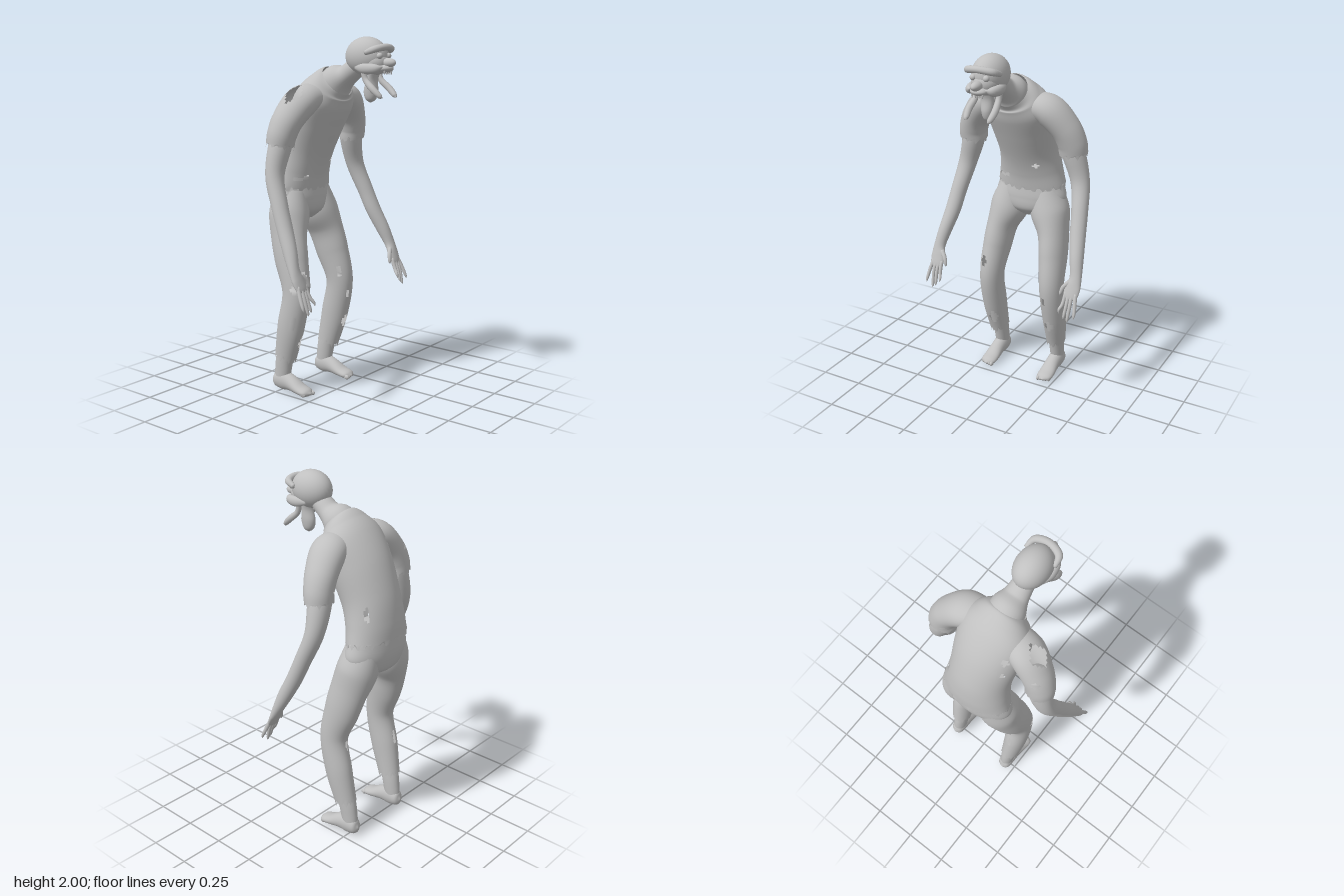
import * as THREE from 'three';

const X = new THREE.Vector3(1, 0, 0);
const Z = new THREE.Vector3(0, 0, 1);

const grey = new THREE.MeshStandardMaterial({ color: 0xc0c0c0, side: THREE.DoubleSide });
grey.name = 'plainGrey';

// Smooth tube through stations [x, y, z, a, b]; a is the half width along ref, b across it.
// jag makes a ragged far end, holes are diamonds [u, v, du, dv] (u around, v along).
function sweep(name, stations, { ref = X, around = 28, along = 30, jag = 0, holes = [], closed = true } = {}) {
  const path = new THREE.CatmullRomCurve3(stations.map(s => new THREE.Vector3(s[0], s[1], s[2])), false, 'catmullrom');
  const size = new THREE.CatmullRomCurve3(stations.map(s => new THREE.Vector3(s[3], s[4], 0)), false, 'catmullrom');
  const pos = [], index = [];
  for (let i = 0; i <= along; i++) {
    const v = i / along;
    const c = path.getPoint(v), r = size.getPoint(v), t = path.getTangent(v);
    const s = ref.clone().addScaledVector(t, -ref.dot(t)).normalize();
    const d = t.clone().cross(s);
    for (let j = 0; j < around; j++) {
      const q = j / around * Math.PI * 2;
      const p = c.clone()
        .addScaledVector(s, Math.max(r.x, 0.001) * Math.cos(q))
        .addScaledVector(d, Math.max(r.y, 0.001) * Math.sin(q));
      if (jag && i === along) {
        const n = Math.sin(j * 2.3 + 1) * 0.6 + Math.sin(j * 5.1) * 0.4;
        p.addScaledVector(t, jag * n);
      }
      pos.push(p.x, p.y, p.z);
    }
  }
  for (let i = 0; i < along; i++) {
    for (let j = 0; j < around; j++) {
      const u = (j + 0.5) / around, v = (i + 0.5) / along;
      if (holes.some(h => Math.abs(u - h[0]) / h[2] + Math.abs(v - h[1]) / h[3] < 1)) continue;
      const k = (j + 1) % around;
      const a = i * around + j, b = i * around + k, c = a + around, e = b + around;
      index.push(a, b, e, a, e, c);
    }
  }
  // End caps
  if (closed) {
    const last = along * around, n = pos.length / 3;
    for (const s of [stations[0], stations[stations.length - 1]]) pos.push(s[0], s[1], s[2]);
    for (let j = 0; j < around; j++) {
      const k = (j + 1) % around;
      index.push(n, k, j, n + 1, last + j, last + k);
    }
  }
  const g = new THREE.BufferGeometry();
  g.setAttribute('position', new THREE.Float32BufferAttribute(pos, 3));
  g.setIndex(index);
  g.computeVertexNormals();
  const mesh = new THREE.Mesh(g, grey);
  mesh.name = name;
  return mesh;
}

function ball(name, x, y, z, rx, ry, rz) {
  const mesh = new THREE.Mesh(new THREE.SphereGeometry(1, 32, 24), grey);
  mesh.name = name;
  mesh.position.set(x, y, z);
  mesh.scale.set(rx, ry, rz);
  return mesh;
}

function makeHead() {
  const head = new THREE.Group();
  head.name = 'head';
  head.add(
    ball('skull', 0, 1.898, 0.2, 0.092, 0.102, 0.122),
    ball('face', 0, 1.865, 0.255, 0.072, 0.065, 0.075),
    ball('nose', 0, 1.865, 0.34, 0.026, 0.024, 0.045),
    ball('upperLip', 0, 1.835, 0.315, 0.048, 0.022, 0.045),
    sweep('brow', [[-0.085, 1.915, 0.25, 0.012, 0.012], [-0.07, 1.935, 0.305, 0.02, 0.018],
      [0, 1.945, 0.325, 0.02, 0.018], [0.07, 1.935, 0.305, 0.02, 0.018],
      [0.085, 1.915, 0.25, 0.012, 0.012]], { ref: Z, around: 16 }),
    sweep('hangingJaw', [[0, 1.83, 0.25, 0.045, 0.03], [0, 1.78, 0.24, 0.038, 0.025],
      [0, 1.72, 0.23, 0.036, 0.04], [0, 1.675, 0.228, 0.026, 0.03], [0, 1.655, 0.228, 0.002, 0.002]])
  );
  for (const s of [-1, 1]) {
    head.add(
      ball('eye', s * 0.038, 1.9, 0.312, 0.017, 0.016, 0.016),
      sweep('cheek', [[s * 0.07, 1.84, 0.18, 0.008, 0.012], [s * 0.078, 1.835, 0.24, 0.02, 0.027],
        [s * 0.065, 1.835, 0.3, 0.022, 0.024], [s * 0.045, 1.845, 0.335, 0.004, 0.004]], { around: 16 }),
      sweep('whisker', [[s * 0.072, 1.825, 0.23, 0.014, 0.014], [s * 0.068, 1.775, 0.245, 0.016, 0.016],
        [s * 0.075, 1.73, 0.295, 0.018, 0.018], [s * 0.068, 1.695, 0.335, 0.014, 0.013],
        [s * 0.06, 1.685, 0.347, 0.001, 0.001]], { around: 12 })
    );
  }
  // Upper teeth
  for (const x of [-0.03, -0.01, 0.01, 0.03]) {
    head.add(sweep('tooth', [[x, 1.835, 0.335, 0.007, 0.006], [x, 1.805, 0.338, 0.003, 0.003]],
      { around: 8, along: 3 }));
  }
  return head;
}

function makeArm(s) {
  const arm = new THREE.Group();
  arm.name = s > 0 ? 'leftArm' : 'rightArm';
  arm.add(
    sweep('sleeve', [[s * 0.1, 1.685, -0.07, 0.085, 0.07], [s * 0.19, 1.658, -0.09, 0.1, 0.085],
      [s * 0.27, 1.57, -0.115, 0.09, 0.08], [s * 0.305, 1.49, -0.13, 0.08, 0.08],
      [s * 0.312, 1.43, -0.138, 0.073, 0.08]],
    { ref: Z, around: 40, along: 34, jag: 0.02, closed: false,
      holes: s < 0 ? [[0.24, 0.3, 0.1, 0.12], [0.4, 0.55, 0.05, 0.06]] : [[0.42, 0.75, 0.04, 0.05]] }),
    sweep('bareArm', [[s * 0.27, 1.56, -0.12, 0.06, 0.06], [s * 0.313, 1.42, -0.14, 0.062, 0.064],
      [s * 0.355, 1.27, -0.14, 0.05, 0.053], [s * 0.382, 1.12, -0.085, 0.045, 0.046],
      [s * 0.398, 1.0, -0.035, 0.043, 0.044], [s * 0.42, 0.89, 0.018, 0.039, 0.038],
      [s * 0.436, 0.8, 0.058, 0.028, 0.034], [s * 0.432, 0.745, 0.085, 0.021, 0.044],
      [s * 0.428, 0.695, 0.108, 0.014, 0.038], [s * 0.428, 0.68, 0.113, 0.003, 0.012]], { ref: Z, along: 54 }),
    sweep('thumb', [[s * 0.41, 0.775, 0.078, 0.014, 0.014], [s * 0.382, 0.745, 0.095, 0.012, 0.012],
      [s * 0.37, 0.71, 0.105, 0.009, 0.009], [s * 0.368, 0.695, 0.108, 0.001, 0.001]], { ref: Z, around: 10, along: 12 })
  );
  // Fingers: root x, tip x, tip height
  for (const [x0, x1, y1] of [[0.4, 0.384, 0.612], [0.417, 0.413, 0.582], [0.436, 0.434, 0.568], [0.455, 0.472, 0.595]]) {
    const xm = (x0 + x1) / 2;
    arm.add(sweep('finger', [[s * x0, 0.72, 0.1, 0.011, 0.011], [s * (xm + 0.003), 0.66, 0.127, 0.011, 0.01],
      [s * x1, y1 + 0.02, 0.148, 0.008, 0.008], [s * x1, y1, 0.156, 0.001, 0.001]], { ref: Z, around: 10, along: 14 }));
  }
  return arm;
}

function makeLeg(s) {
  const leg = new THREE.Group();
  leg.name = s > 0 ? 'leftLeg' : 'rightLeg';
  const tears = s > 0
    ? [[0.25, 0.86, 0.1, 0.035], [0.4, 0.62, 0.04, 0.04], [0.72, 0.7, 0.04, 0.04], [0.3, 0.72, 0.04, 0.025]]
    : [[0.2, 0.9, 0.08, 0.04], [0.42, 0.65, 0.05, 0.03], [0.3, 0.6, 0.05, 0.025], [0.75, 0.8, 0.04, 0.05], [0.4, 0.8, 0.04, 0.05]];
  leg.add(
    sweep('trouserLeg', [[s * 0.1, 1.14, -0.255, 0.09, 0.1], [s * 0.128, 1.02, -0.238, 0.112, 0.115],
      [s * 0.165, 0.9, -0.21, 0.086, 0.11], [s * 0.182, 0.78, -0.178, 0.079, 0.104],
      [s * 0.197, 0.6, -0.133, 0.069, 0.083], [s * 0.2, 0.4, -0.17, 0.066, 0.083],
      [s * 0.194, 0.21, -0.217, 0.054, 0.067]],
    { around: 40, along: 64, jag: 0.022, closed: false, holes: tears }),
    sweep('shin', [[s * 0.197, 0.62, -0.135, 0.045, 0.055], [s * 0.198, 0.4, -0.172, 0.048, 0.058],
      [s * 0.192, 0.22, -0.222, 0.044, 0.055], [s * 0.19, 0.13, -0.24, 0.04, 0.052],
      [s * 0.19, 0.06, -0.25, 0.036, 0.048]]),
    sweep('foot', [[s * 0.19, 0.06, -0.308, 0.004, 0.006], [s * 0.19, 0.06, -0.29, 0.034, 0.042],
      [s * 0.19, 0.066, -0.24, 0.042, 0.058], [s * 0.19, 0.058, -0.18, 0.042, 0.046],
      [s * 0.191, 0.036, -0.11, 0.047, 0.029], [s * 0.191, 0.026, -0.06, 0.042, 0.021],
      [s * 0.191, 0.024, -0.036, 0.005, 0.004]])
  );
  // Toes
  for (let i = 0; i < 5; i++) {
    leg.add(ball('toe', s * (0.16 + i * 0.0155), 0.02, -0.052 - i * 0.004, 0.011, 0.014, 0.018));
  }
  return leg;
}

export function createModel() {
  const model = new THREE.Group();
  model.name = 'hunchedFigure';
  model.add(
    // Ragged shirt from collar to hem
    sweep('shirt', [[0, 1.765, 0.005, 0.1, 0.1], [0, 1.735, -0.03, 0.15, 0.118], [0, 1.67, -0.08, 0.195, 0.138],
      [0, 1.55, -0.15, 0.187, 0.148], [0, 1.4, -0.215, 0.174, 0.143],
      [0, 1.28, -0.248, 0.186, 0.134], [0, 1.18, -0.262, 0.205, 0.126]],
    { around: 72, along: 60, jag: 0.024, closed: false,
      holes: [[0.38, 0.9, 0.04, 0.025], [0.33, 0.88, 0.02, 0.03], [0.16, 0.72, 0.02, 0.025],
        [0.9, 0.75, 0.02, 0.06], [0.62, 0.42, 0.02, 0.03], [0.6, 0.52, 0.012, 0.03]] }),
    // Forward-reaching neck
    sweep('neck', [[0, 1.735, -0.03, 0.095, 0.09], [0, 1.768, 0.015, 0.093, 0.09], [0, 1.795, 0.07, 0.068, 0.06],
      [0, 1.83, 0.12, 0.058, 0.055], [0, 1.87, 0.18, 0.05, 0.05]]),
    sweep('hips', [[0, 1.25, -0.253, 0.175, 0.115], [0, 1.18, -0.258, 0.195, 0.118], [0, 1.1, -0.254, 0.214, 0.12],
      [0, 1.03, -0.242, 0.17, 0.105], [0, 0.985, -0.235, 0.04, 0.05]], { around: 40 }),
    makeHead()
  );
  for (const s of [-1, 1]) model.add(makeArm(s), makeLeg(s));
  return model;
}
